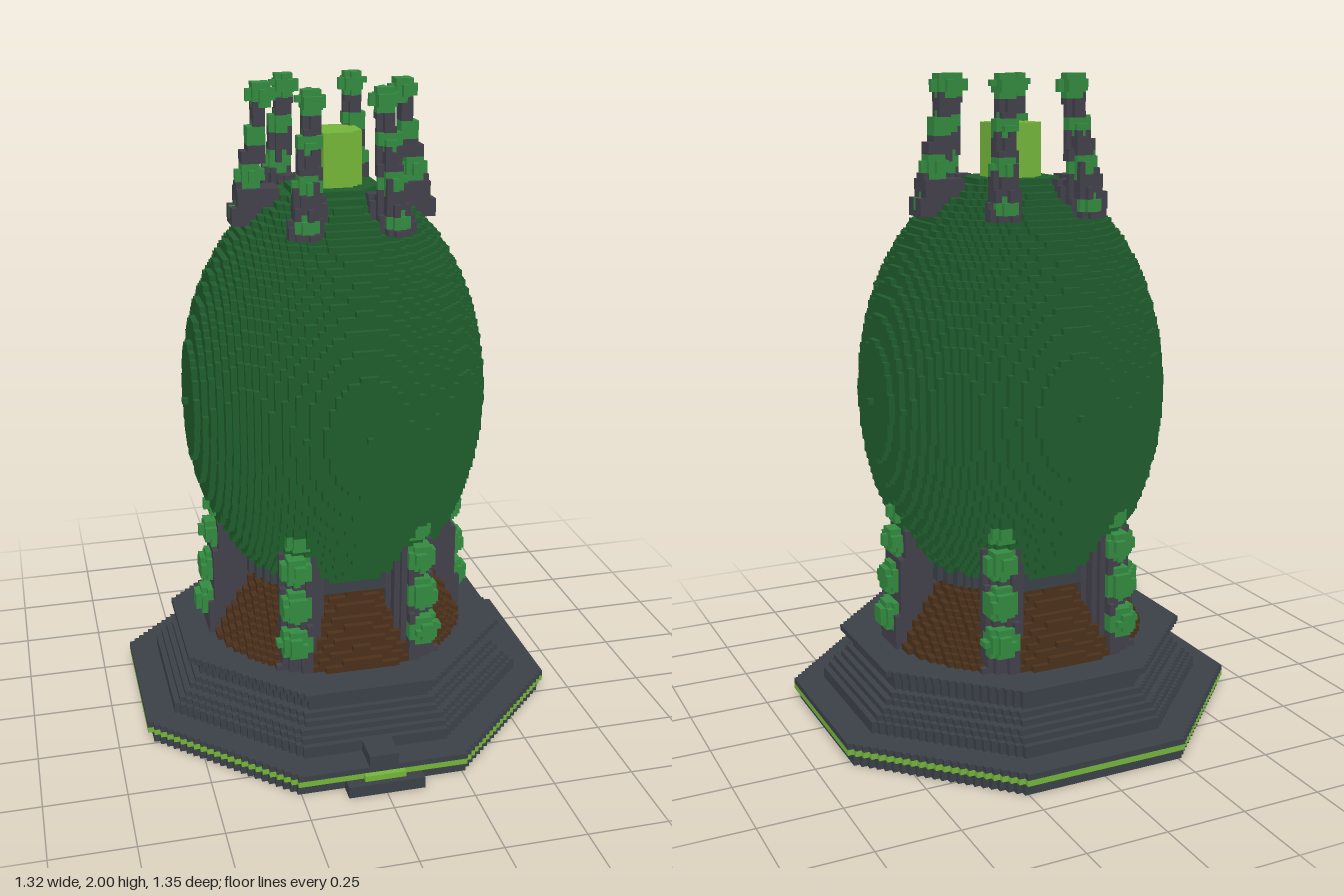
import * as THREE from 'three';

// Block-built monument: every part claims cells of one shared grid, then each part
// becomes a mesh made of its exposed block faces.
const V = 2 / 111;             // block size
const R = 38, H = 111, N = 2 * R + 1;

const mat = (name, color) => {
  const m = new THREE.MeshStandardMaterial({ color });
  m.name = name;
  return m;
};

export function createModel() {
  const stone = mat('slate stone', 0x3b4048);
  const clawStone = mat('claw stone', 0x423f4a);
  const earth = mat('brown earth', 0x4a301a);
  const shell = mat('deep green shell', 0x1f5c2c);
  const leaf = mat('leaf green', 0x338a40);
  const glow = mat('lime glow', 0x74b539);

  const grid = new Uint8Array(N * N * H);
  const at = (i, j, k) => ((j * N) + k + R) * N + i + R;
  const filled = (i, j, k) =>
    Math.abs(i) > R || Math.abs(k) > R || j < 0 || j >= H ? 0 : grid[at(i, j, k)];
  const parts = [];

  // Claim all cells in layers j0..j1 that pass the test (i, j, k, y); later parts win
  function fill(name, material, j0, j1, test) {
    parts.push({ name, material });
    const id = parts.length;
    for (let j = j0; j <= j1; j++)
      for (let k = -R; k <= R; k++)
        for (let i = -R; i <= R; i++)
          if (test(i, j, k, (j + 0.5) * V)) grid[at(i, j, k)] = id;
  }

  const octagon = (i, k, r) =>
    Math.max(Math.abs(i), Math.abs(k)) <= r && Math.abs(i) + Math.abs(k) <= r * Math.SQRT2;

  // True if the test (u outward, w sideways, in units) holds on any of the six spokes
  const spokes = Array.from({ length: 6 }, (_, n) => [Math.cos(n * Math.PI / 3), Math.sin(n * Math.PI / 3)]);
  const onSpoke = (i, k, test) =>
    spokes.some(([c, s]) => test((i * c + k * s) * V, (k * c - i * s) * V));

  // Stepped octagonal base, one radius per layer
  const tiers = [35, 35, 36, 36, 31, 31, 30, 29, 28, 27, 26, 26, 26, 28];
  fill('base', stone, 0, 13, (i, j, k) => octagon(i, k, tiers[j]));
  fill('glowBand', glow, 2, 2, (i, j, k) =>
    (octagon(i, k, 36) && !octagon(i, k, 35)) || (k === 37 && Math.abs(i) <= 3));
  fill('frontStep', stone, 0, 1, (i, j, k) => Math.abs(i) <= 6 && k >= 35);
  fill('frontPath', stone, 4, 5, (i, j, k) => Math.abs(i) <= 2 && k >= 28 && k <= 36);

  // Sloped mound and the cup that holds the egg
  fill('mound', earth, 14, 25, (i, j, k, y) =>
    Math.hypot(i, k) * V <= 0.42 - 0.62 * (y - 0.25));
  fill('cup', stone, 26, 33, (i, j, k) => Math.hypot(i, k) * V <= 0.305);

  // Lower claws: six radial ribs rising around the egg
  fill('lowerClaws', clawStone, 14, 38, (i, j, k, y) =>
    onSpoke(i, k, (u, w) =>
      u > 0 && u <= 0.425 - 0.1 * (y - 0.25) && Math.abs(w) <= (y > 0.63 ? 0.04 : 0.055)));

  // Egg
  fill('egg', shell, 20, 93, (i, j, k) =>
    (i * i + k * k) / (26 * 26) + ((j - 57) * V / 0.68) ** 2 <= 1.00001);

  // Lime pillar on the crown
  fill('crownPillar', glow, 92, 102, (i, j, k) => Math.hypot(i, k) <= 4.5);

  // Upper claws: six tapering stalks with a foot reaching inwards
  fill('upperClaws', clawStone, 88, 108, (i, j, k, y) =>
    onSpoke(i, k, (u, w) => {
      const centre = 0.27 - 0.16 * (y - 1.62);
      const half = 0.04 - 0.06 * (y - 1.62);
      const inner = y < 1.69 ? 0.17 : centre - half;
      return Math.abs(w) <= half && u >= inner && u <= centre + half;
    }));

  // Leaf tufts on the claws: [height, distance from axis, radius]
  const tufts = (name, j0, j1, list) => fill(name, leaf, j0, j1, (i, j, k, y) =>
    onSpoke(i, k, (u, w) => list.some(([h, d, r]) =>
      (u - d) ** 2 + w * w + (y - h) ** 2 <= r * r)));
  tufts('lowerLeaves', 14, 42, [
    [0.35, 0.405, 0.053], [0.47, 0.4, 0.05], [0.59, 0.387, 0.048], [0.685, 0.375, 0.042]]);
  tufts('upperLeaves', 85, 110, [
    [1.62, 0.275, 0.036], [1.73, 0.252, 0.039], [1.85, 0.235, 0.035], [1.965, 0.216, 0.038]]);

  // Collect the exposed block faces of each part
  const positions = parts.map(() => []);
  const corners = [[-1, -1], [1, -1], [1, 1], [-1, -1], [1, 1], [-1, 1]];
  for (let j = 0; j < H; j++)
    for (let k = -R; k <= R; k++)
      for (let i = -R; i <= R; i++) {
        const id = grid[at(i, j, k)];
        if (!id) continue;
        const centre = [i * V, (j + 0.5) * V, (k - 1) * V];
        for (let axis = 0; axis < 3; axis++)
          for (const side of [-1, 1]) {
            const step = [0, 0, 0];
            step[axis] = side;
            if (filled(i + step[0], j + step[1], k + step[2])) continue;
            for (const [a, b] of corners) {
              const p = [...centre];
              p[axis] += side * V / 2;
              p[(axis + 1) % 3] += a * side * V / 2;
              p[(axis + 2) % 3] += b * V / 2;
              positions[id - 1].push(...p);
            }
          }
      }

  const group = new THREE.Group();
  group.name = 'eggMonument';
  parts.forEach(({ name, material }, n) => {
    const geometry = new THREE.BufferGeometry();
    geometry.setAttribute('position', new THREE.Float32BufferAttribute(positions[n], 3));
    geometry.computeVertexNormals();
    const mesh = new THREE.Mesh(geometry, material);
    mesh.name = name;
    group.add(mesh);
  });
  return group;
}
